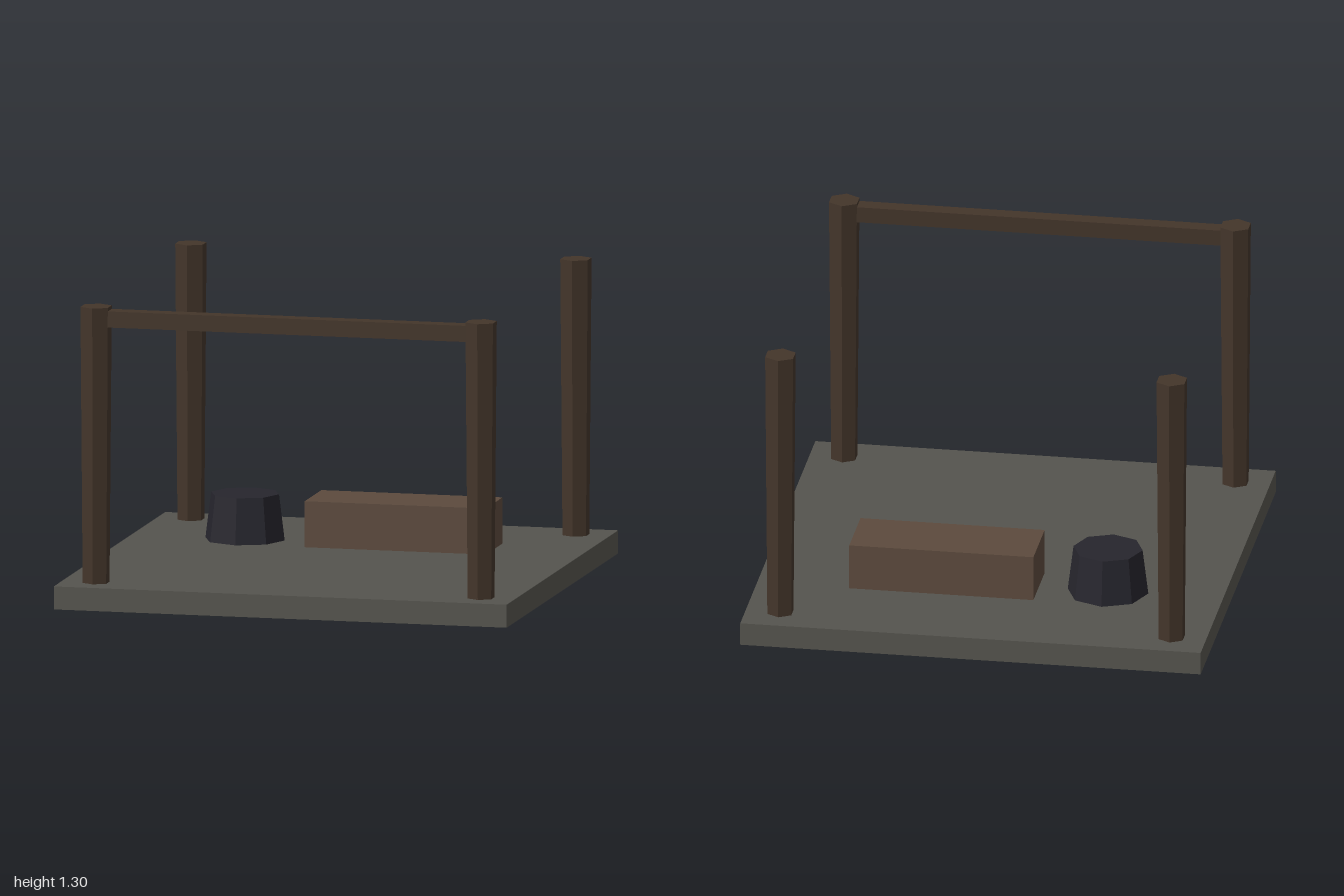
import * as THREE from 'three';

const material = (color) => new THREE.MeshStandardMaterial({ color, flatShading: true });

export function createModel() {
  const model = new THREE.Group();
  const stone = material(0x55544e);
  const darkWood = material(0x43352a);
  const wood = material(0x5c4a3d);
  const iron = material(0x26252d);

  const add = (name, geometry, mat, x, y, z) => {
    const mesh = new THREE.Mesh(geometry, mat);
    mesh.name = name;
    mesh.position.set(x, y, z);
    model.add(mesh);
  };

  // Floor slab
  add('floor', new THREE.BoxGeometry(2, 0.1, 2), stone, 0, 0.05, 0);

  // Four hexagonal corner posts, slightly wider at the top
  const postGeometry = new THREE.CylinderGeometry(0.07, 0.06, 1.2, 6);
  for (const [side, x] of [['left', 0.85], ['right', -0.85]]) {
    for (const [end, z] of [['Front', 0.85], ['Back', -0.85]]) {
      add(`${side}${end}Post`, postGeometry, darkWood, x, 0.7, z);
    }
  }

  // Beam joining the two front posts
  add('frontBeam', new THREE.BoxGeometry(1.7, 0.07, 0.07), darkWood, 0, 1.25, 0.85);

  // Tapered eight-sided block
  add('taperedBlock', new THREE.CylinderGeometry(0.15, 0.175, 0.2, 8), iron, -0.5, 0.2, -0.4);

  // Low wooden bench
  add('bench', new THREE.BoxGeometry(0.8, 0.2, 0.3), wood, 0.2, 0.2, -0.4);

  return model;
}
